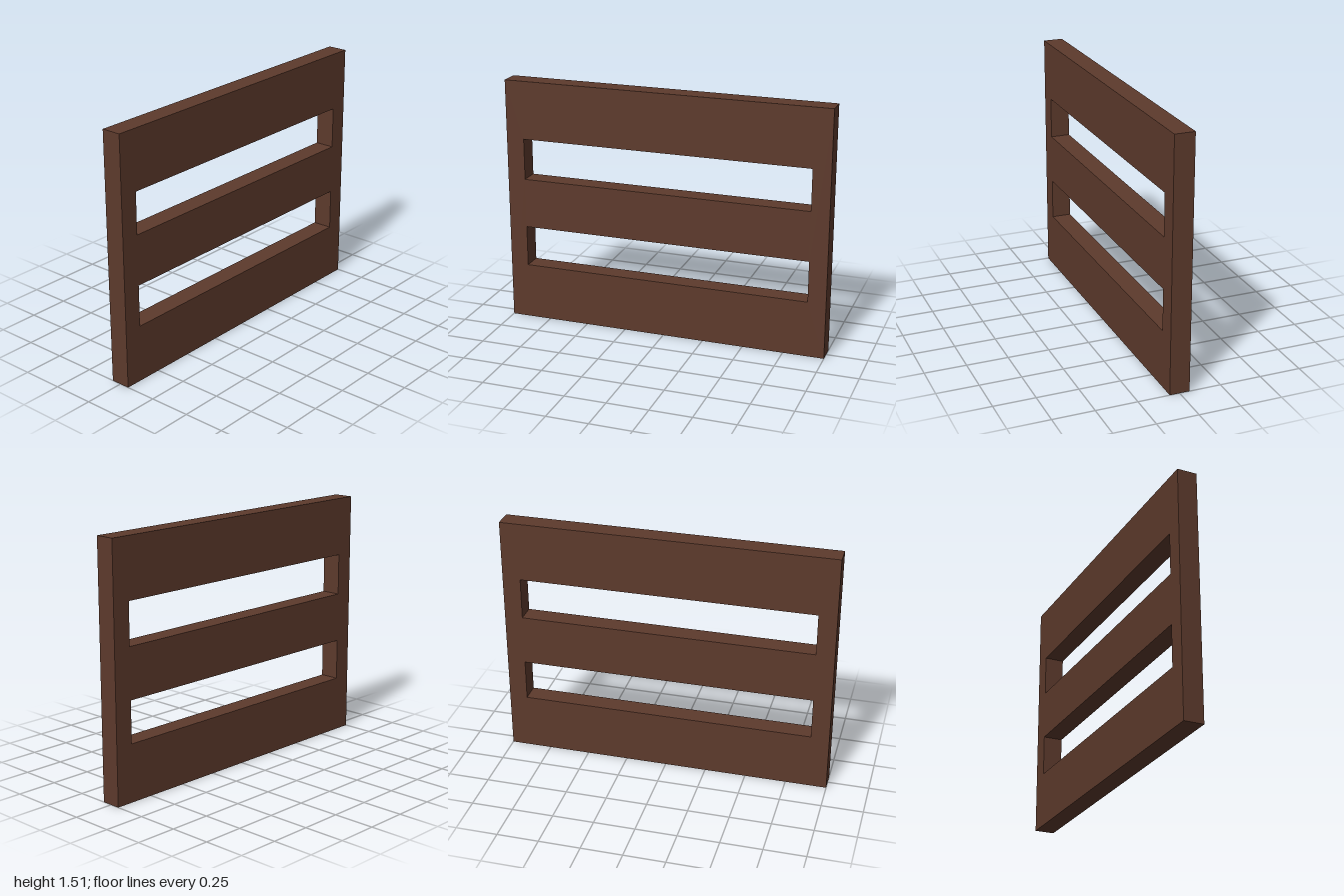
import * as THREE from 'three';

const WIDTH = 2, HEIGHT = 1.515, DEPTH = 0.12;
const SLOT_HALF = 0.89;
const SLOTS = [[0.345, 0.597], [0.903, 1.157]]; // bottom and top of each opening

// Traces a rectangle on a shape or path
function rect(path, x0, y0, x1, y1) {
  path.moveTo(x0, y0);
  path.lineTo(x1, y0);
  path.lineTo(x1, y1);
  path.lineTo(x0, y1);
  path.closePath();
  return path;
}

export function createModel() {
  const group = new THREE.Group();
  group.name = 'slattedPanel';

  const brownWood = new THREE.MeshStandardMaterial({ color: 0x5d3a2c });
  brownWood.name = 'brownWood';

  // Panel with two long horizontal openings
  const outline = rect(new THREE.Shape(), -WIDTH / 2, 0, WIDTH / 2, HEIGHT);
  for (const [y0, y1] of SLOTS) {
    outline.holes.push(rect(new THREE.Path(), -SLOT_HALF, y0, SLOT_HALF, y1));
  }
  const geometry = new THREE.ExtrudeGeometry(outline, { depth: DEPTH, bevelEnabled: false });
  geometry.translate(0, 0, -DEPTH / 2);

  const panel = new THREE.Mesh(geometry, brownWood);
  panel.name = 'panel';
  group.add(panel);
  return group;
}
